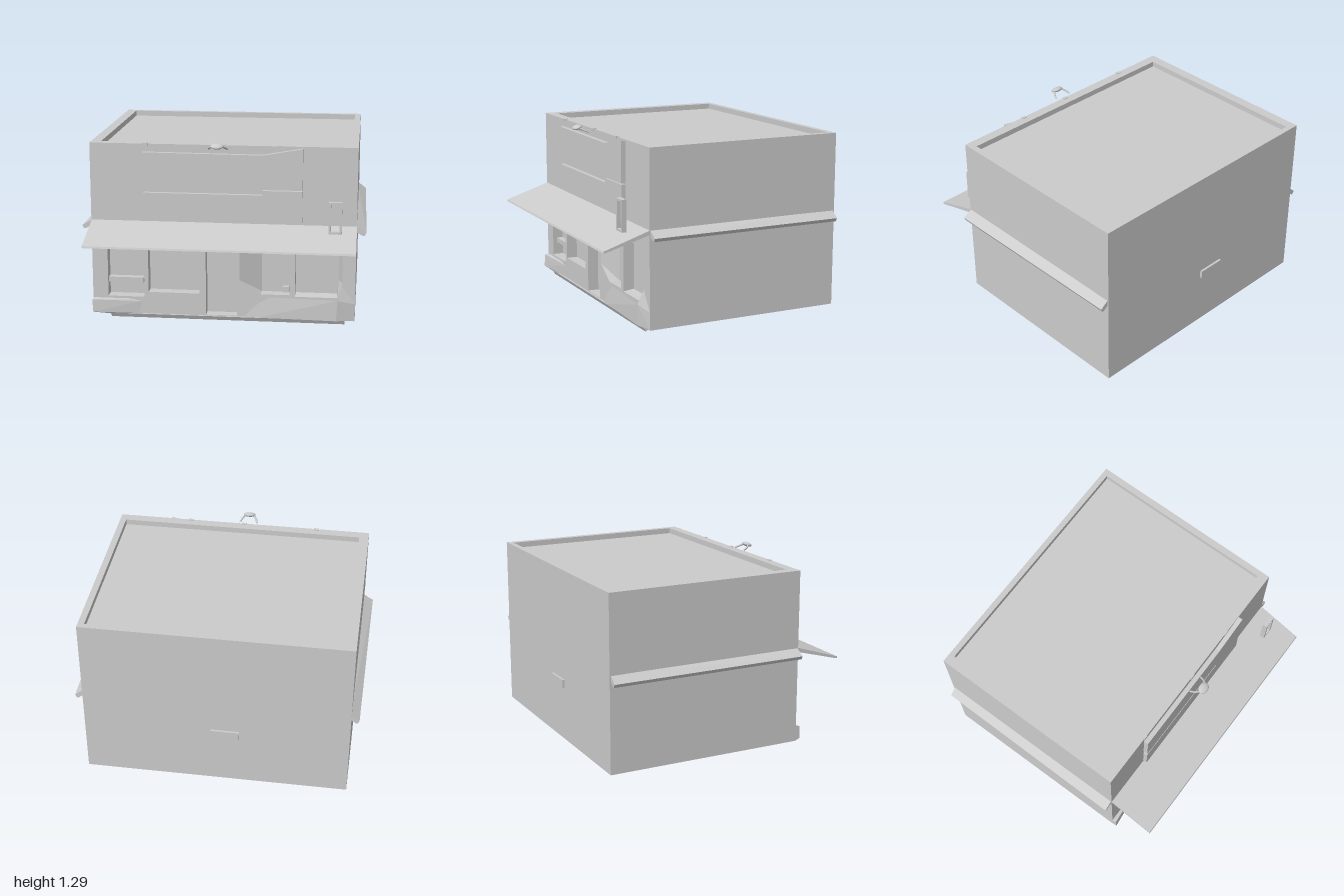
import * as THREE from 'three';
import { ConvexGeometry } from 'three/addons/geometries/ConvexGeometry.js';

const grey = new THREE.MeshStandardMaterial({ color: 0xcccccc, flatShading: true, side: THREE.DoubleSide });
const smooth = new THREE.MeshStandardMaterial({ color: 0xcccccc });

const rect = (x0, y0, x1, y1) => [[x0, y0], [x1, y0], [x1, y1], [x0, y1]];
const vecs = (pts) => pts.map(([x, y]) => new THREE.Vector2(x, y));

export function createModel() {
  const root = new THREE.Group();

  const add = (name, geometry, material = grey) => {
    const mesh = new THREE.Mesh(geometry, material);
    mesh.name = name;
    root.add(mesh);
    return mesh;
  };
  // Box given by its two extreme corners
  const box = (name, x0, y0, z0, x1, y1, z1) =>
    add(name, new THREE.BoxGeometry(x1 - x0, y1 - y0, z1 - z0)
      .translate((x0 + x1) / 2, (y0 + y1) / 2, (z0 + z1) / 2));
  // Outline with holes, extruded along z
  const slab = (name, outline, holes, z0, z1) => {
    const shape = new THREE.Shape(vecs(outline));
    holes.forEach((h) => shape.holes.push(new THREE.Path(vecs(h))));
    return add(name, new THREE.ExtrudeGeometry(shape, { depth: z1 - z0, bevelEnabled: false }).translate(0, 0, z0));
  };
  const hull = (name, pts) => add(name, new ConvexGeometry(pts.map((p) => new THREE.Vector3(...p))));
  // Sloping faces between an outer outline and an inner one
  const splay = (name, outer, inner, z0, z1) => {
    const pos = [];
    outer.forEach((a, i) => {
      const j = (i + 1) % outer.length;
      const b = outer[j], c = inner[j], d = inner[i];
      pos.push(...a, z1, ...b, z1, ...c, z0, ...a, z1, ...c, z0, ...d, z0);
    });
    const g = new THREE.BufferGeometry();
    g.setAttribute('position', new THREE.Float32BufferAttribute(pos, 3));
    g.computeVertexNormals();
    return add(name, g);
  };

  // Main block and shop front
  const zIn = 0.48, zFront = 0.56;
  box('body', -0.93, 0.025, -0.88, 0.93, 1.22, zIn);
  const doorway = [[-0.12, 0.035], [0.10, 0.035], [0.10, 0.57], [-0.12, 0.50]];
  const entry = [[0.12, 0.30], [0.27, 0.20], [0.47, 0.20], [0.47, 0.50], [0.40, 0.56], [0.12, 0.58]];
  const entryBack = [[0.27, 0.21], [0.27, 0.20], [0.47, 0.20], [0.47, 0.50], [0.40, 0.50], [0.27, 0.50]];
  const bay = [[0.51, 0.19], [0.81, 0.19], [0.84, 0.30], [0.84, 0.57], [0.51, 0.57]];
  const bayBack = [[0.51, 0.20], [0.80, 0.20], [0.81, 0.30], [0.81, 0.57], [0.51, 0.57]];
  slab('frontWall', rect(-0.93, 0.025, 0.93, 1.22), [
    rect(-0.82, 0.15, -0.56, 0.57),
    rect(-0.53, 0.19, -0.165, 0.57),
    doorway, entry, bay,
  ], zIn, zFront);
  splay('entryReveal', entry, entryBack, zIn + 0.002, zFront);
  splay('bayReveal', bay, bayBack, zIn + 0.002, zFront);
  splay('doorReveal', doorway, rect(-0.12, 0.035, 0.10, 0.50), zIn + 0.002, zFront);

  // Fittings inside the openings
  box('windowRail', -0.82, 0.25, zIn, -0.57, 0.285, 0.53);
  box('windowSill', -0.82, 0.14, zIn, -0.56, 0.155, 0.565);
  box('doorHandle', 0.42, 0.205, zIn, 0.465, 0.245, 0.51);

  // Parapet around the sunken roof
  const parapet = slab('parapet', rect(-0.93, -0.56, 0.93, 0.88), [rect(-0.86, -0.49, 0.885, 0.84)], 0, 0.04);
  parapet.rotation.x = -Math.PI / 2;
  parapet.position.y = 1.22;

  // Front awning and the two side awnings
  const awning = [[0.56, 0.71], [0.89, 0.605], [0.895, 0.592], [0.88, 0.592], [0.56, 0.68]];
  hull('frontAwning', [-0.927, 0.932].flatMap((x) => awning.map(([z, y]) => [x, y, z])));
  const eave = [[0.92, 0.715], [0.997, 0.667], [0.985, 0.643], [0.975, 0.643], [0.92, 0.672]];
  for (const s of [-1, 1]) {
    hull(s > 0 ? 'leftAwning' : 'rightAwning', eave.flatMap(([x, y]) => [
      [s * x, y, 0.555],
      [s * (x > 0.95 ? x - 0.012 : x), y - (x > 0.95 ? 0.004 : 0), -0.87],
    ]));
  }

  // Sign boards above the awning
  slab('upperSign', [[-0.555, 0.96], [0.555, 0.96], [0.555, 1.25], [0.28, 1.2], [-0.555, 1.205]], [], zFront, 0.593);
  slab('lowerSign', [[-0.555, 0.735], [0.555, 0.735], [0.555, 0.952], [0.28, 0.952], [0.28, 0.92], [-0.555, 0.92]],
    [], zFront, 0.59);
  for (const x of [-0.54, 0, 0.4]) box('signClip', x - 0.018, 1.245, 0.54, x + 0.018, 1.264, 0.565);

  // Hanging sign frame
  slab('hangingFrame', rect(0.74, 0.69, 0.83, 0.91), [rect(0.755, 0.705, 0.815, 0.895)], 0.68, 0.715);

  // Sign lamp on a bent bracket
  const arch = new THREE.CatmullRomCurve3([
    [-0.09, 1.243, 0.605], [-0.075, 1.26, 0.645], [-0.045, 1.275, 0.67],
    [-0.005, 1.275, 0.67], [0.022, 1.26, 0.645], [0.037, 1.243, 0.605],
  ].map((p) => new THREE.Vector3(...p)));
  add('lampBracket', new THREE.TubeGeometry(arch, 16, 0.007, 6), smooth);
  const lamp = add('lampHead', new THREE.SphereGeometry(1, 14, 10), smooth);
  lamp.scale.set(0.045, 0.016, 0.034);
  lamp.position.set(-0.025, 1.273, 0.672);
  lamp.rotation.x = 0.35;

  // Plate on the back wall
  box('backPlate', -0.165, 0.41, -0.896, 0.035, 0.47, -0.875);

  // Uneven footing along the shop front
  hull('footing', [
    [-0.8, 0, 0.56], [0.86, 0, 0.56], [-0.8, 0.03, 0.575], [0.86, 0.03, 0.575],
    [-0.8, 0.03, 0.5], [0.86, 0.03, 0.5],
  ]);
  hull('rightFooting', [
    [-0.93, 0.025, 0.55], [-0.93, 0.14, 0.55], [-0.93, 0.13, 0.59], [-0.93, 0.04, 0.595],
    [-0.8, 0.025, 0.575], [-0.58, 0.12, 0.56], [-0.58, 0.14, 0.55], [-0.6, 0.03, 0.56],
  ]);
  hull('leftFooting', [
    [0.1, 0.03, 0.555], [0.25, 0.18, 0.555], [0.25, 0.03, 0.57], [0.8, 0.03, 0.59],
    [0.81, 0.18, 0.59], [0.93, 0.03, 0.555], [0.93, 0.15, 0.555],
  ]);
  hull('leftCornerFooting', [
    [0.8, 0.03, 0.59], [0.81, 0.18, 0.595], [0.84, 0.3, 0.555], [0.93, 0.15, 0.56],
    [0.93, 0.03, 0.56], [0.8, 0.03, 0.555], [0.81, 0.18, 0.555],
  ]);

  return root;
}
